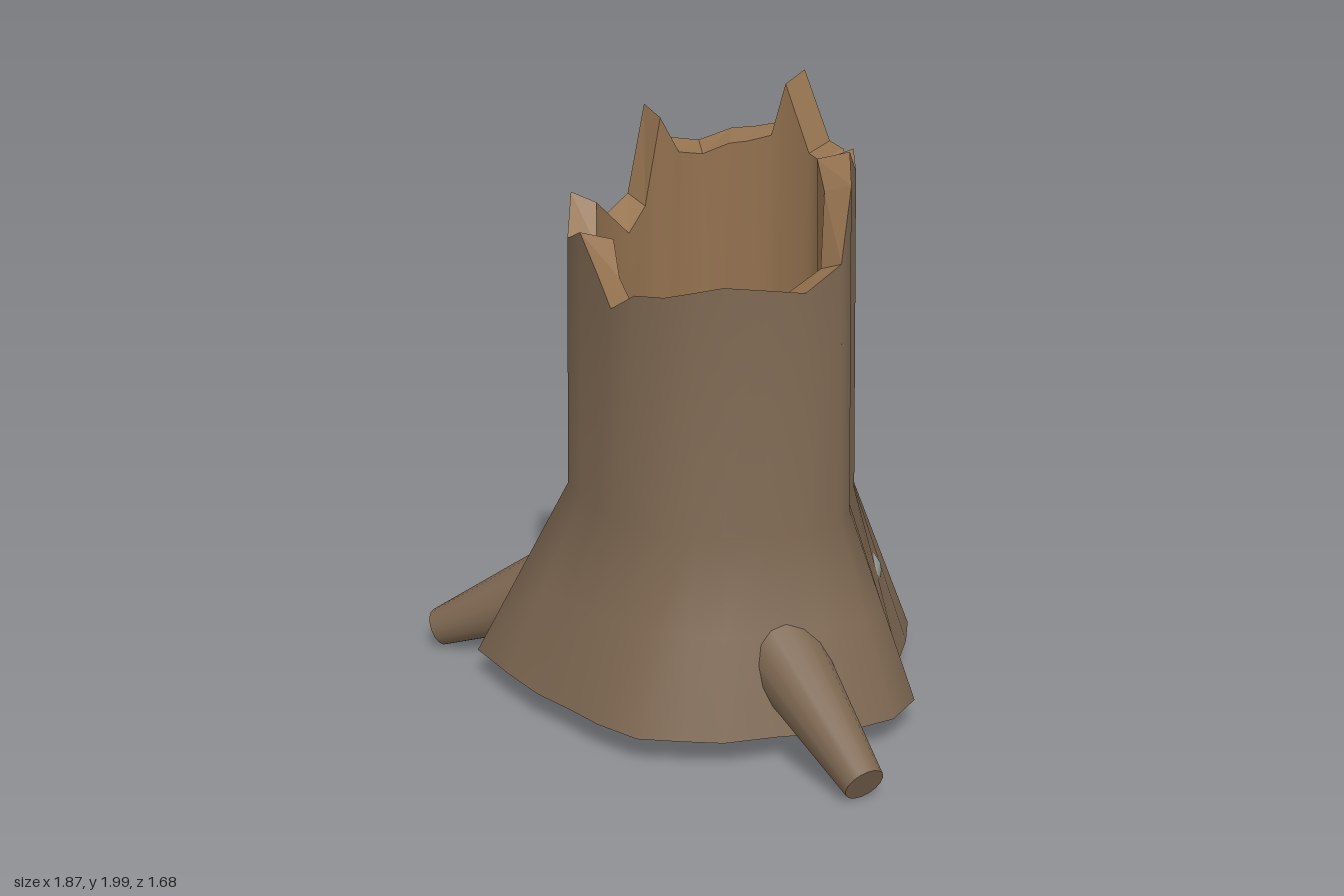
import * as THREE from 'three';

const BARK = new THREE.MeshStandardMaterial({ color: 0x7d6751, side: THREE.DoubleSide });
const WOOD = new THREE.MeshStandardMaterial({ color: 0x94724f, side: THREE.DoubleSide });
const CUT = new THREE.MeshStandardMaterial({ color: 0x94724f, side: THREE.DoubleSide, flatShading: true });
const STONE = new THREE.MeshStandardMaterial({ color: 0x979d98 });
const CX = 0.07, CZ = 0.12;

// Around the trunk: angle in degrees, base radius, broken rim radius, rim height
const COLUMNS = [
  [3, 0.735, 0.47, 1.76], [15, 0.76, 0.51, 1.54], [30, 0.73, 0.5, 1.47], [45, 0.68, 0.49, 1.49],
  [60, 0.7, 0.48, 1.5], [71, 0.7, 0.475, 1.48], [82, 0.72, 0.48, 1.46], [95, 0.69, 0.47, 1.45],
  [107, 0.67, 0.47, 1.39], [120, 0.69, 0.45, 1.48], [135, 0.73, 0.46, 1.58], [150, 0.82, 0.49, 1.53],
  [165, 0.7, 0.5, 1.65], [180, 0.65, 0.455, 1.53], [196, 0.64, 0.44, 1.6], [205, 0.65, 0.435, 1.89],
  [216, 0.67, 0.44, 1.77], [231, 0.71, 0.45, 1.75], [245, 0.68, 0.45, 1.79], [255, 0.67, 0.44, 1.8],
  [267, 0.69, 0.45, 1.82], [277, 0.725, 0.46, 2.0], [291, 0.72, 0.46, 1.78], [302, 0.69, 0.45, 1.77],
  [312, 0.68, 0.435, 1.72], [325, 0.63, 0.42, 1.81], [338, 0.6, 0.425, 1.76], [350, 0.63, 0.42, 1.84],
];

// Point on the trunk at an angle, radius and height
function at(deg, r, y) {
  const a = THREE.MathUtils.degToRad(deg);
  return [CX + r * Math.cos(a), y, CZ + r * Math.sin(a)];
}

// Skin stretched over closed rings
function loft(name, rings, material) {
  const n = rings[0].length, index = [];
  for (let j = 0; j < rings.length - 1; j++) {
    for (let i = 0; i < n; i++) {
      const a = j * n + i, b = j * n + (i + 1) % n;
      index.push(a, a + n, b, b, a + n, b + n);
    }
  }
  const geo = new THREE.BufferGeometry();
  geo.setAttribute('position', new THREE.Float32BufferAttribute(rings.flat(2), 3));
  geo.setIndex(index);
  geo.computeVertexNormals();
  const mesh = new THREE.Mesh(geo, material);
  mesh.name = name;
  return mesh;
}

// Tapered root from deep inside the trunk to its cut tip
function root(name, from, to, r0, r1) {
  const a = new THREE.Vector3(...from), b = new THREE.Vector3(...to);
  const dir = b.clone().sub(a);
  const mesh = new THREE.Mesh(new THREE.CylinderGeometry(r1, r0, dir.length(), 16), BARK);
  mesh.position.copy(a).add(b).multiplyScalar(0.5);
  mesh.quaternion.setFromUnitVectors(new THREE.Vector3(0, 1, 0), dir.normalize());
  mesh.name = name;
  return mesh;
}

// Rounded, slightly uneven stone
function stone(name, pos, size) {
  const geo = new THREE.SphereGeometry(1, 16, 12);
  const p = geo.attributes.position;
  for (let i = 0; i < p.count; i++) {
    const x = p.getX(i), y = p.getY(i), z = p.getZ(i);
    const k = 1 + 0.05 * Math.sin(4 * x + 2 * y) * Math.cos(3 * z - y);
    p.setXYZ(i, x * k, y * k, z * k);
  }
  geo.computeVertexNormals();
  const mesh = new THREE.Mesh(geo, STONE);
  mesh.position.set(...pos);
  mesh.scale.set(...size);
  mesh.name = name;
  return mesh;
}

export function createModel() {
  const model = new THREE.Group();
  model.name = 'hollowStump';
  const ring = (fn) => COLUMNS.map(([deg, base, top, h], i) => at(deg, ...fn(base, top, h, i)));

  // Flared bark, broken rim and hollow with its floor
  const rimOut = ring((b, t, h) => [t, h]);
  const rimIn = ring((b, t, h, i) => [t - 0.095 + 0.015 * Math.sin(i * 2.3), h - 0.03]);
  const floorEdge = ring((b, t) => [t - 0.085, 0.68]);
  model.add(loft('bark', [
    ring((b) => [b, 0.1]),
    ring((b, t) => [b * 0.5 + t * 0.515, 0.4]),
    ring((b, t) => [t * 1.03, 0.7]),
    rimOut,
  ], BARK));
  model.add(loft('brokenRim', [rimOut, rimIn], CUT));
  model.add(loft('hollowWall', [rimIn, floorEdge], WOOD));
  model.add(loft('hollowFloor', [floorEdge, ring(() => [0.001, 0.65])], WOOD));

  // Three roots the stump stands on
  model.add(root('backRoot', [-0.08, 0.4, -0.19], [-0.235, 0.065, -0.81], 0.16, 0.065));
  model.add(root('rightRoot', [-0.33, 0.35, 0.245], [-0.905, 0.068, 0.38], 0.165, 0.065));
  model.add(root('leftRoot', [0.4, 0.36, 0.41], [0.89, 0.068, 0.7], 0.145, 0.065));

  // Stones lodged under and inside the trunk
  const stones = new THREE.Group();
  stones.name = 'stones';
  stones.add(
    stone('upperStone', [0.035, 0.68, 0.06], [0.15, 0.16, 0.135]),
    stone('topPebble', [0.095, 0.83, 0.075], [0.095, 0.09, 0.095]),
    stone('sidePebble', [0.18, 0.68, 0.09], [0.04, 0.05, 0.06]),
    stone('middleStone', [0.05, 0.43, 0.04], [0.3, 0.18, 0.22]),
    stone('rightStone', [-0.31, 0.38, 0.01], [0.178, 0.1, 0.17]),
    stone('leftStone', [0.385, 0.395, -0.08], [0.173, 0.1, 0.12]),
    stone('frontStone', [0.3, 0.34, 0.24], [0.12, 0.11, 0.12]),
    stone('backStone', [-0.13, 0.31, -0.13], [0.2, 0.14, 0.17]),
    stone('lowerStone', [-0.13, 0.25, 0.18], [0.13, 0.12, 0.13]),
  );
  model.add(stones);

  // Small wooden chip among the stones
  const chip = new THREE.Mesh(new THREE.BoxGeometry(0.1, 0.05, 0.07), CUT);
  chip.position.set(0.06, 0.24, 0.05);
  chip.rotation.set(0.2, 0.5, 0.1);
  chip.name = 'woodChip';
  model.add(chip);
  return model;
}
